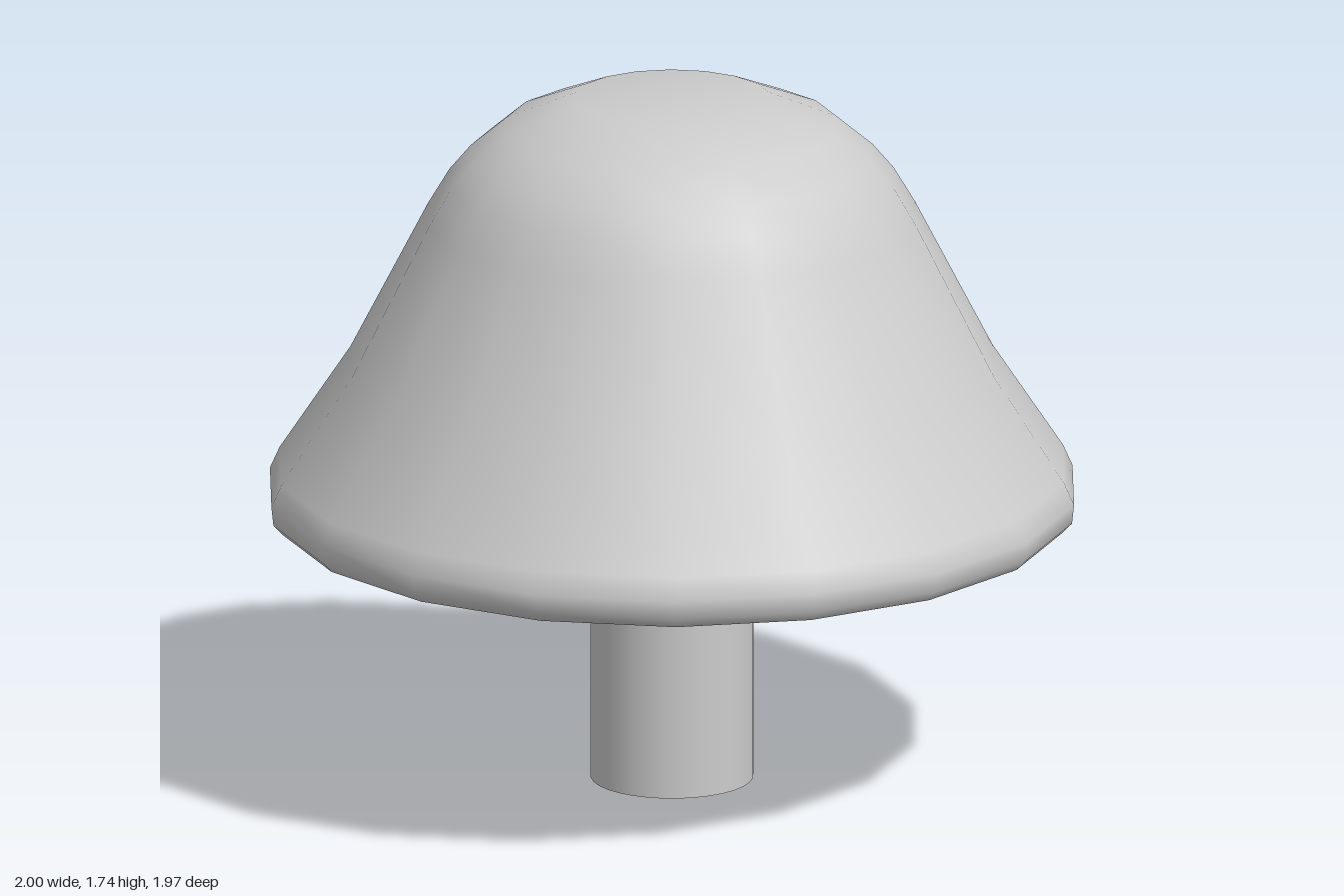
import * as THREE from 'three';

export function createModel() {
  const group = new THREE.Group();
  const material = new THREE.MeshStandardMaterial({ color: 0xcccccc });

  // Cap: 18-sided lathe, profile [radius, height] from underside to crown
  const profile = [
    [0, 0.635], [0.2, 0.636], [0.88, 0.654], [0.93, 0.656], [0.97, 0.667],
    [0.995, 0.693], [1, 0.74], [0.976, 0.794], [0.8, 1.06], [0.607, 1.436],
    [0.553, 1.527], [0.5, 1.59], [0.41, 1.666], [0.243, 1.735], [0, 1.735],
  ].map(([r, y]) => new THREE.Vector2(r, y));
  const cap = new THREE.Mesh(new THREE.LatheGeometry(profile, 18, Math.PI / 2), material);
  cap.name = 'cap';
  group.add(cap);

  // Stem: hollow tube, open at the foot
  const stemHeight = 0.64;
  const stemMaterial = material.clone();
  stemMaterial.side = THREE.DoubleSide;
  const stem = new THREE.Mesh(
    new THREE.CylinderGeometry(0.2, 0.2, stemHeight, 32, 1, true), stemMaterial);
  stem.position.y = stemHeight / 2;
  stem.name = 'stem';
  group.add(stem);

  return group;
}
